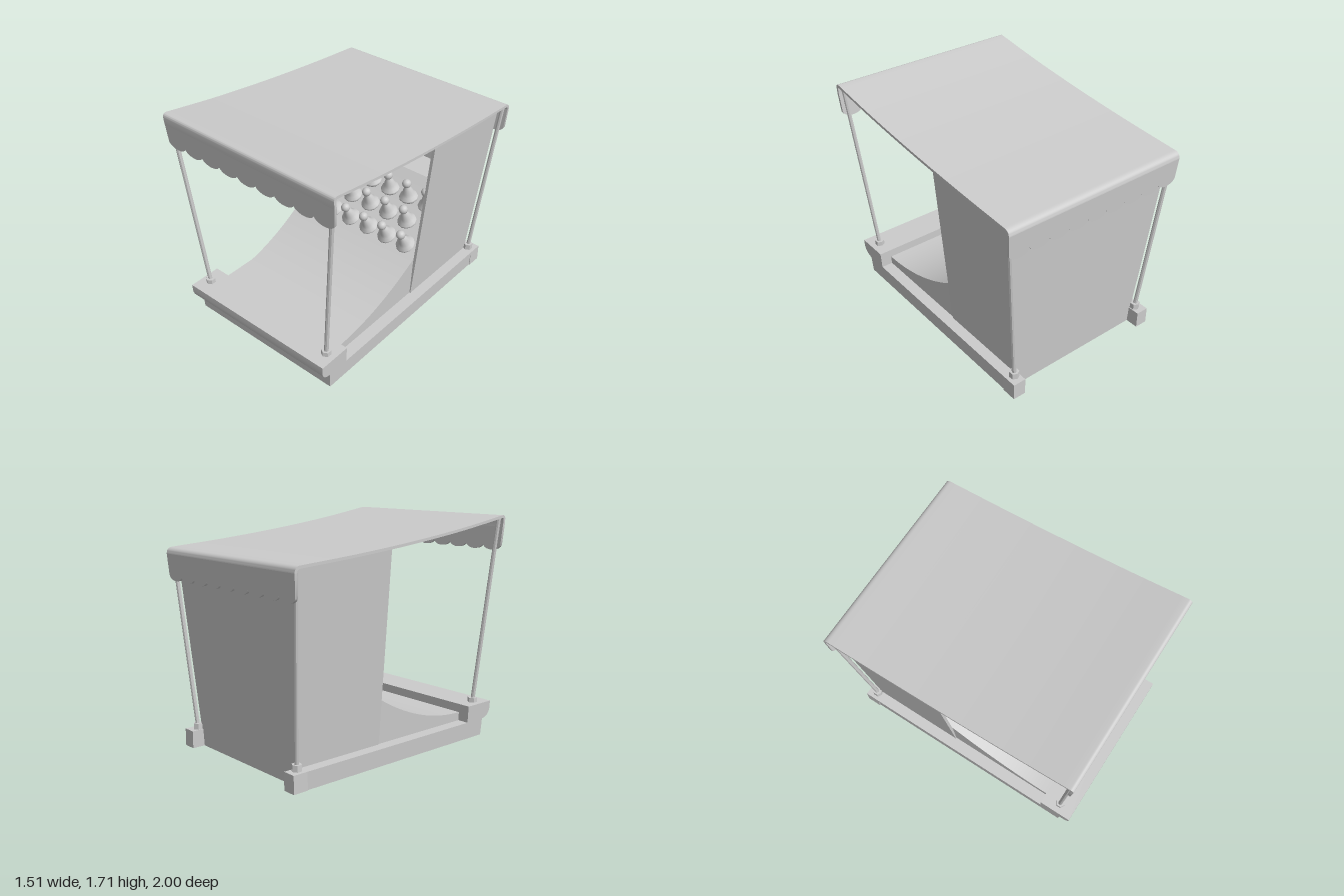
import * as THREE from 'three';
import { toCreasedNormals } from 'three/addons/utils/BufferGeometryUtils.js';

const material = new THREE.MeshStandardMaterial({ color: 0xcccccc });

export function createModel() {
  const model = new THREE.Group();

  const add = (name, geo, parent = model) => {
    const mesh = new THREE.Mesh(geo, material);
    mesh.name = name;
    parent.add(mesh);
    return mesh;
  };

  // Move every vertex by a rule, then rebuild the normals
  const reshape = (geo, rule) => {
    const p = geo.attributes.position, v = new THREE.Vector3();
    for (let i = 0; i < p.count; i++) {
      rule(v.fromBufferAttribute(p, i));
      p.setXYZ(i, v.x, v.y, v.z);
    }
    return toCreasedNormals(geo, 0.6);
  };

  // Side profile (z, y) extruded across x, with a half width that may vary
  const acrossX = (shape, half) => {
    const geo = new THREE.ExtrudeGeometry(shape, { depth: 2, bevelEnabled: false, curveSegments: 8 });
    geo.translate(0, 0, -1).rotateY(-Math.PI / 2);
    return reshape(geo, v => { v.x *= half(v.y, v.z); });
  };

  // Base with a rounded front counter
  const base = new THREE.Shape();
  base.moveTo(0.91, 0);
  base.lineTo(0.918, 0.13);
  base.quadraticCurveTo(0.995, 0.138, 1, 0.21);
  base.lineTo(1, 0.26);
  base.lineTo(0.745, 0.26);
  base.lineTo(0.745, 0.13);
  base.lineTo(-0.84, 0.13);
  base.lineTo(-0.84, 0);
  const baseHalf = y => 0.645 + 0.055 * y;
  add('base', acrossX(base, baseHalf));

  // Curved ramp rising to the back
  const ramp = new THREE.Shape();
  ramp.moveTo(0.745, 0.1);
  for (let i = 0; i <= 24; i++) {
    const d = 1.35 * i / 24;
    ramp.lineTo(0.745 - d, 0.195 + 0.36 * d * d);
  }
  ramp.lineTo(-0.84, 0.85);
  ramp.lineTo(-0.84, 0.1);
  add('ramp', acrossX(ramp, y => 0.555 + 0.045 * y));

  // Back wall, leaning outward
  const back = new THREE.Shape([[-0.555, 0], [0.555, 0], [0.69, 1.475], [-0.69, 1.475]]
    .map(p => new THREE.Vector2(...p)));
  const backGeo = new THREE.ExtrudeGeometry(back, { depth: 0.02, bevelEnabled: false });
  add('backWall', reshape(backGeo, v => { v.z += -0.85 - 0.065 * v.y; }));

  // Roof sheet with rolled front and back edges
  const crown = [[0.95, 1.705], [0.5, 1.633], [0, 1.57], [-0.5, 1.521], [-0.95, 1.487]];
  const curve = new THREE.SplineCurve(crown.map(p => new THREE.Vector2(...p)));
  const top = curve.getPoints(24);
  const roof = new THREE.Shape();
  roof.moveTo(0.975, 1.62);
  roof.lineTo(0.98, 1.675);
  roof.quadraticCurveTo(0.98, 1.708, 0.95, 1.705);
  top.slice(1).forEach(p => roof.lineTo(p.x, p.y));
  roof.quadraticCurveTo(-0.998, 1.485, -0.999, 1.44);
  roof.lineTo(-0.979, 1.44);
  roof.quadraticCurveTo(-0.978, 1.467, -0.95, 1.467);
  top.slice(0, -1).reverse().forEach(p => roof.lineTo(p.x, p.y - 0.02));
  roof.quadraticCurveTo(0.96, 1.686, 0.96, 1.665);
  roof.lineTo(0.955, 1.62);
  add('roof', acrossX(roof, (y, z) => 0.75 + 0.006 * z));

  // Scalloped valances hanging at both ends
  const valance = (name, yTop, yCusp, half, zOuter, lean) => {
    const low = half - 0.01, step = 2 * low / 9, drop = 0.053;
    const s = new THREE.Shape();
    s.moveTo(half, yTop);
    s.lineTo(-half, yTop);
    s.lineTo(-low, yCusp);
    for (let i = 0; i < 9; i++) {
      const x = -low + i * step;
      s.bezierCurveTo(x + 0.02, yCusp - drop, x + step - 0.02, yCusp - drop, x + step, yCusp);
    }
    const geo = new THREE.ExtrudeGeometry(s, { depth: 0.02, bevelEnabled: false, curveSegments: 10 });
    add(name, reshape(geo, v => { v.z += zOuter + lean * (yTop - v.y); }));
  };
  valance('frontValance', 1.62, 1.485, 0.755, 0.955, -0.07);
  valance('backValance', 1.44, 1.285, 0.744, -0.999, 0.07);

  // Leaning pole standing in a small hexagonal foot
  const pole = (name, bottom, end) => {
    const group = new THREE.Group();
    group.name = name;
    const a = new THREE.Vector3(...bottom), b = new THREE.Vector3(...end);
    const dir = b.clone().sub(a);
    const geo = new THREE.CylinderGeometry(0.016, 0.016, dir.length(), 8);
    const rod = add('rod', toCreasedNormals(geo, 0.6), group);
    rod.position.copy(a).lerp(b, 0.5);
    rod.quaternion.setFromUnitVectors(new THREE.Vector3(0, 1, 0), dir.normalize());
    const foot = add('foot', toCreasedNormals(new THREE.CylinderGeometry(0.036, 0.038, 0.05, 6), 0.6), group);
    foot.position.set(a.x, a.y + 0.01, a.z);
    model.add(group);
  };

  for (const side of [1, -1]) {
    const label = side > 0 ? 'left' : 'right';

    // Side wall, flared outward and cut to the roof line
    const wall = new THREE.Shape([[-0.118, 0.05], [-0.135, 1.545], [-0.5, 1.506], [-0.943, 1.473], [-0.85, 0.05]]
      .map(p => new THREE.Vector2(...p)));
    const geo = new THREE.ExtrudeGeometry(wall, { depth: 0.022, bevelEnabled: false });
    geo.translate(0, 0, -0.011).rotateY(-Math.PI / 2);
    add(label + 'Wall', reshape(geo, v => { v.x += side * (0.546 + 0.091 * v.y); }));

    // Rear corner block under the back pole
    const block = new THREE.BoxGeometry(0.1, 0.13, 0.115);
    block.translate(side * 0.602, 0.065, -0.8925);
    add(label + 'CornerBlock', block);

    pole(label + 'FrontPole', [side * 0.583, 0.26, 0.877], [side * 0.722, 1.685, 0.948]);
    pole(label + 'BackPole', [side * 0.592, 0.14, -0.877], [side * 0.715, 1.475, -0.962]);
  }

  // Target pins: flared skirt, thin neck and round head, turned as one profile
  const profile = [[0, -0.038], [0.04, -0.034], [0.066, -0.02], [0.078, -0.003], [0.074, 0.008],
    [0.056, 0.026], [0.044, 0.05], [0.036, 0.075], [0.026, 0.097], [0.019, 0.109]];
  for (let i = 0; i <= 8; i++) {
    const t = -1 + i * (Math.PI / 2 + 1) / 8;
    profile.push([i === 8 ? 0 : 0.036 * Math.cos(t), 0.142 + 0.036 * Math.sin(t)]);
  }
  const pinGeo = new THREE.LatheGeometry(profile.map(p => new THREE.Vector2(...p)), 12);
  const rows = [
    { count: 6, y: 0.508, z: -0.192, tilt: 0.5 },
    { count: 5, y: 0.612, z: -0.325, tilt: 0.4 },
    { count: 6, y: 0.724, z: -0.46, tilt: 0.27 },
  ];
  for (const { count, y, z, tilt } of rows) {
    for (let i = 0; i < count; i++) {
      const pin = add('pin', pinGeo);
      pin.position.set((i - (count - 1) / 2) * 0.179, y, z);
      pin.rotation.x = tilt;
    }
  }

  return model;
}
